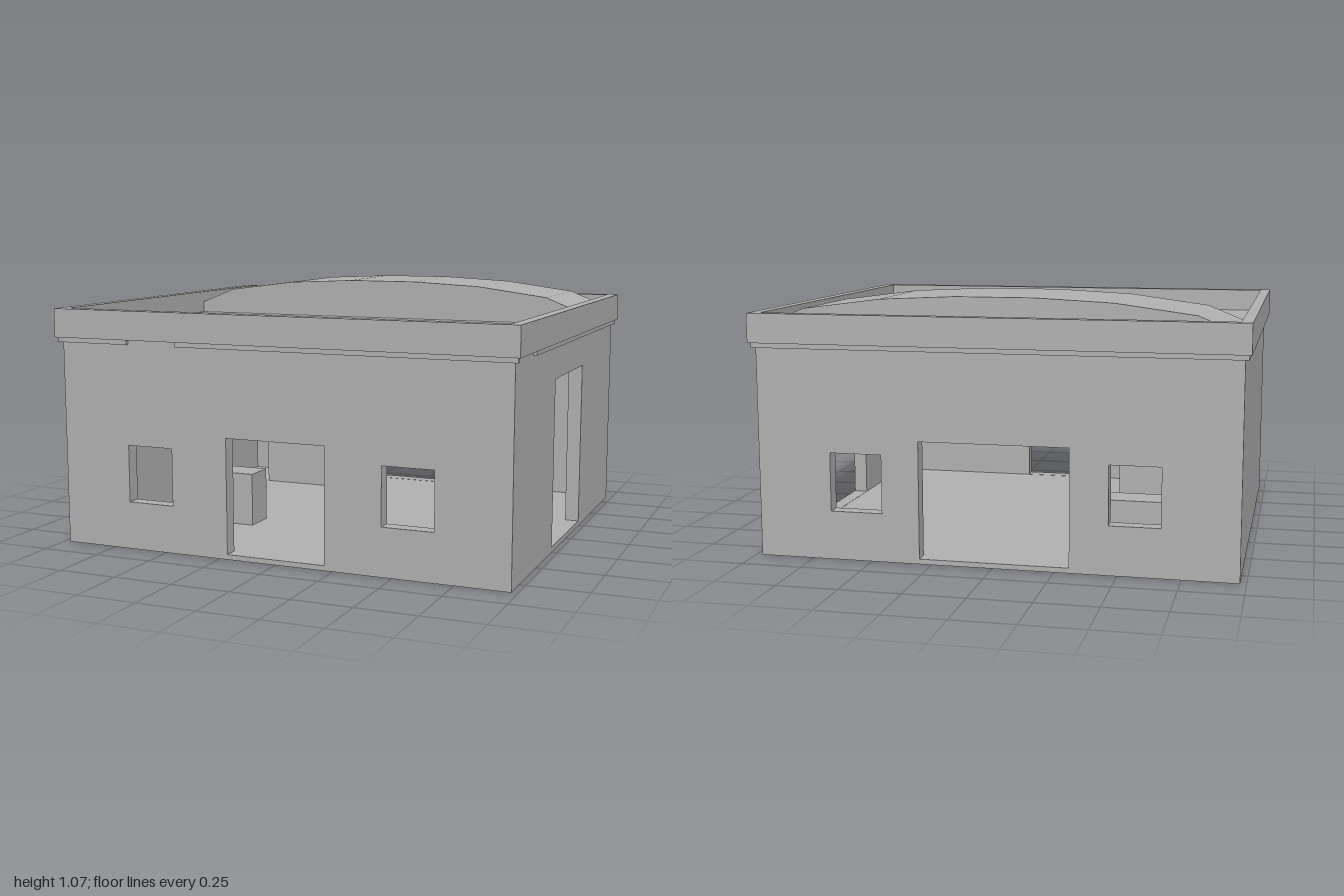
import * as THREE from 'three';

const wallGrey = new THREE.MeshStandardMaterial({ color: 0xb2b2b2 });
wallGrey.name = 'wallGrey';

// Rectangular outline, usable as a shape or as a hole
function rect(x0, y0, x1, y1, Kind = THREE.Shape) {
  const s = new Kind();
  s.moveTo(x0, y0);
  s.lineTo(x1, y0);
  s.lineTo(x1, y1);
  s.lineTo(x0, y1);
  s.closePath();
  return s;
}

// Plate with rectangular openings, extruded along +z
function plate(outer, holes, depth) {
  const shape = rect(...outer);
  for (const h of holes) shape.holes.push(rect(...h, THREE.Path));
  return new THREE.ExtrudeGeometry(shape, { depth, bevelEnabled: false });
}

// Horizontal plate; rectangles are given as x0, z0, x1, z1
function flatPlate(outer, holes, y0, y1) {
  const flip = ([x0, z0, x1, z1]) => [x0, -z1, x1, -z0];
  return plate(flip(outer), holes.map(flip), y1 - y0).rotateX(-Math.PI / 2).translate(0, y0, 0);
}

// Box from its limits
function block(x0, x1, y0, y1, z0, z1) {
  return new THREE.BoxGeometry(x1 - x0, y1 - y0, z1 - z0)
    .translate((x0 + x1) / 2, (y0 + y1) / 2, (z0 + z1) / 2);
}

export function createModel() {
  const group = new THREE.Group();
  const add = (name, geometry) => {
    const mesh = new THREE.Mesh(geometry, wallGrey);
    mesh.name = name;
    group.add(mesh);
  };

  const W = 0.975, D = 0.86, T = 0.06, FLOOR = 0.02, TOP = 0.88;

  // Floor slab
  add('floor', block(-W, W, 0, FLOOR, -D, D));

  // Front and back walls: a doorway between two windows
  const windows = [[-0.67, 0.2, -0.465, 0.44], [0.455, 0.2, 0.67, 0.44]];
  const outline = [-W, FLOOR, W, TOP];
  add('frontWall', plate(outline, [...windows, [-0.215, FLOOR + 0.001, 0.215, 0.5]], T).translate(0, 0, D - T));
  add('backWall', plate(outline, [...windows, [-0.31, FLOOR + 0.001, 0.3, 0.5]], T).translate(0, 0, -D));

  // Left wall with a tall doorway, plain right wall
  add('leftWall', plate([-D + T, FLOOR, D - T, TOP], [[-0.245, FLOOR + 0.001, 0.245, 0.725]], T)
    .rotateY(Math.PI / 2).translate(W - T, 0, 0));
  add('rightWall', block(-W, -W + T, FLOOR, TOP, -D + T, D - T));

  // Roof deck with a hatch opening
  add('roofDeck', flatPlate([-0.96, -0.845, 0.96, 0.845], [[-0.66, 0.61, -0.435, 0.83]], 0.86, 0.9));

  // Parapet ring
  add('parapet', flatPlate([-1, -0.885, 1, 0.885], [[-0.955, -0.84, 0.955, 0.835]], TOP, 1));

  // Thin trim below the parapet, interrupted near the front
  add('frontTrimRight', block(-0.99, -0.66, 0.86, TOP, D, 0.875));
  add('frontTrimLeft', block(-0.435, 0.99, 0.86, TOP, D, 0.875));
  add('backTrim', block(-0.99, 0.99, 0.86, TOP, -0.875, -D));
  for (const s of [-1, 1]) {
    add(s > 0 ? 'leftTrim' : 'rightTrim',
      block(Math.min(s * W, s * 0.99), Math.max(s * W, s * 0.99), 0.86, TOP, -D, 0.61));
  }

  // Shallow faceted vault over the back of the roof
  const half = [[0.955, 0.95], [0.79, 1.016], [0.47, 1.058], [0.16, 1.073]];
  const arc = [...half, ...half.map(([x, y]) => [-x, y]).reverse()];
  const vault = new THREE.Shape([[-0.955, 0.89], [0.955, 0.89], ...arc].map(([x, y]) => new THREE.Vector2(x, y)));
  add('roofVault', new THREE.ExtrudeGeometry(vault, { depth: 0.495, bevelEnabled: false }).translate(0, 0, -0.8));

  // Low blocks standing inside
  add('frontBlock', block(-0.7, -0.345, FLOOR, 0.25, 0.24, 0.38));
  add('backBlock', block(-0.7, -0.38, FLOOR, 0.25, -0.64, -0.5));

  return group;
}
